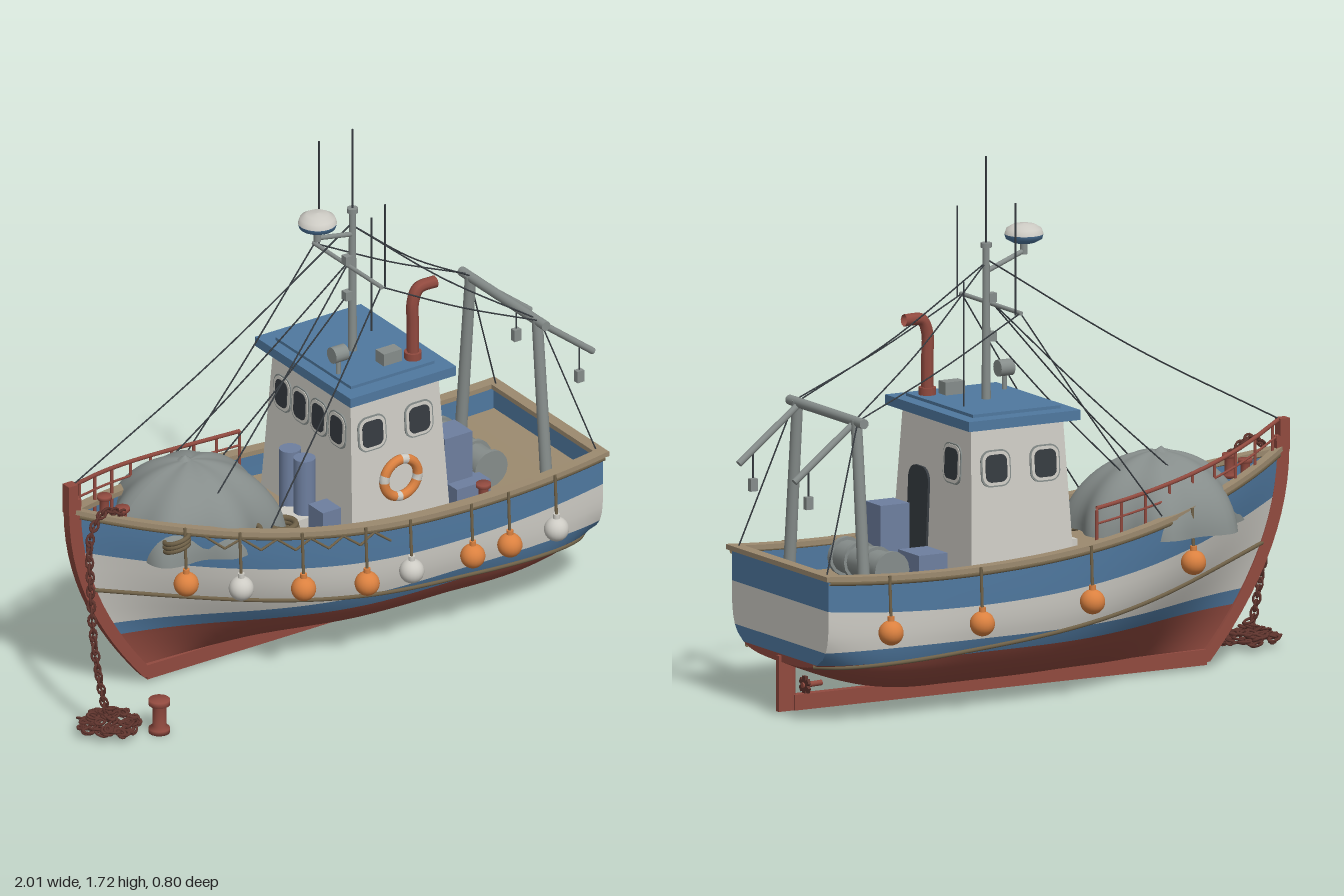
import * as THREE from 'three';
import { toCreasedNormals } from 'three/addons/utils/BufferGeometryUtils.js';

const mat = (name, color, side = THREE.DoubleSide) => Object.assign(new THREE.MeshStandardMaterial({ color, side }), { name });
const V = (x, y, z) => new THREE.Vector3(x, y, z);
const lerp = THREE.MathUtils.lerp, smooth = THREE.MathUtils.smoothstep;

export function createModel() {
  const red = mat('red oxide', 0x914a3f), white = mat('off white', 0xcdcbc4), blue = mat('boat blue', 0x4f789f);
  const orange = mat('orange', 0xdb8140), tan = mat('deck wood', 0x9c8a6f), grey = mat('grey metal', 0x868d8b);
  const dark = mat('dark glass and rope', 0x363b40), chainMat = mat('rusty chain', 0x5f342d);
  const paleBlue = mat('pale blue', 0x6e7f9f), brown = mat('brown trim', 0x6f6148);
  const model = new THREE.Group();
  const add = (name, geo, m, x = 0, y = 0, z = 0, parent = model) => {
    const mesh = new THREE.Mesh(geo, m);
    mesh.name = name;
    mesh.position.set(x, y, z);
    parent.add(mesh);
    return mesh;
  };
  const box = (name, m, w, h, d, x, y, z) => add(name, new THREE.BoxGeometry(w, h, d), m, x, y, z);
  const cyl = (name, m, r, h, x, y, z, r2 = r) => add(name, new THREE.CylinderGeometry(r2, r, h, 16), m, x, y, z);
  const ball = (name, m, r, x, y, z) => add(name, new THREE.SphereGeometry(r, 20, 14), m, x, y, z);
  const rod = (name, m, a, b, r, r2 = r) => {
    const d = b.clone().sub(a), c = a.clone().add(b).multiplyScalar(0.5);
    const mesh = cyl(name, m, r, d.length(), c.x, c.y, c.z, r2);
    mesh.quaternion.setFromUnitVectors(V(0, 1, 0), d.normalize());
    return mesh;
  };
  const tube = (name, m, pts, r, n = 40) => add(name, new THREE.TubeGeometry(new THREE.CatmullRomCurve3(pts), n, r, 8), m);
  const loft = (rows, crease = 0.6) => {
    const n = rows[0].length, index = [], g = new THREE.BufferGeometry().setFromPoints(rows.flat());
    for (let j = 0; j < rows.length - 1; j++) for (let i = 0; i < n - 1; i++) {
      const a = j * n + i;
      index.push(a, a + 1, a + n, a + 1, a + n + 1, a + n);
    }
    g.setIndex(index);
    return toCreasedNormals(g, crease);
  };

  // Hull lines: t runs from bow (-x) to stern (+x)
  const sheer = t => 0.468 + 0.21 * (1 - t / 0.78) ** 2;
  const bottom = t => 0.05 + 0.12 * Math.max(0, (t - 0.68) / 0.32) ** 2;
  const stemX = y => -0.885 + 0.28 * (1 - (y - 0.03) / 0.65) ** 2;
  const beam = t => t < 0.6 ? 0.335 * (1 - (1 - t / 0.6) ** 2.2) : 0.335 - 0.03 * ((t - 0.6) / 0.4) ** 2;
  const half = (t, y) => {
    const h = THREE.MathUtils.clamp((y - bottom(t)) / (sheer(t) - bottom(t)), 0, 1);
    const s = smooth(t, 0, 0.5), e = smooth(t, 0.65, 1);
    return beam(t) * (1 - (1 - h) ** (lerp(1.4, 4, s) + 2.5 * e)) ** (lerp(0.9, 0.6, s) - 0.28 * e);
  };
  const hullPoint = (t, y, side, out = 0) => V(lerp(stemX(y), 0.94, t), y, side * Math.max(0, half(t, y) + out));
  const N = 48, tOf = x => (x + 0.88) / 1.82;
  // One loop of the hull: front side, transom, back side
  const hullLoop = (yAt, out = 0, dy = 0) => {
    const pts = [];
    for (let i = 0; i <= N; i++) pts.push(hullPoint(i / N, yAt(i / N), 1, out));
    const w = half(1, yAt(1)) + out;
    for (let i = 0; i <= 8; i++) pts.push(V(0.94 + out, yAt(1), w * (1 - i / 4)));
    for (let i = N; i >= 0; i--) pts.push(hullPoint(i / N, yAt(i / N), -1, out));
    pts.forEach(p => { p.y += dy; });
    return pts;
  };
  const blueLow = t => sheer(t) - lerp(0.145, 0.105, t);
  const band = (name, m, lo, hi, n, pow = 1) => {
    const rows = [];
    for (let j = 0; j <= n; j++) rows.push(hullLoop(t => lerp(lo(t), hi(t), (j / n) ** pow)));
    add(name, loft(rows), m);
  };
  band('hullBottom', red, bottom, () => 0.195, 12, 2);
  band('bootStripe', blue, () => 0.195, () => 0.243, 2);
  band('hullSide', white, () => 0.243, blueLow, 5);
  band('bulwark', blue, blueLow, sheer, 4);
  add('railCap', loft([[-0.025, -0.006], [0.014, -0.006], [0.014, 0.01], [-0.025, 0.01], [-0.025, -0.006]]
    .map(([o, dy]) => hullLoop(sheer, o, dy))), tan);
  const deckY = t => sheer(t) - 0.09;
  add('deck', loft([-1, 1].map(s => Array.from({ length: N + 1 }, (_, i) => hullPoint(i / N, deckY(i / N), s, -0.003)))), tan);
  for (const s of [1, -1]) {
    const line = (yAt, out) => Array.from({ length: 30 }, (_, i) => hullPoint(0.01 + 0.99 * i / 29, yAt(0.01 + 0.99 * i / 29), s, out));
    tube('rubbingStrake', brown, line(t => 0.187 + 0.2 * (1 - t) ** 2, 0.002), 0.007, 80);
    tube('railMoulding', brown, line(t => sheer(t) - 0.013, 0.006), 0.007, 80);
  }

  // Stem, keel, rudder and propeller
  const stem = new THREE.Shape(), ys = Array.from({ length: 15 }, (_, i) => 0.02 + 0.05 * i);
  ys.forEach(y => stem.lineTo(stemX(y) - 0.02, y));
  [...ys].reverse().forEach(y => stem.lineTo(stemX(y) + 0.025, y));
  stem.curves.shift();
  add('stemPost', new THREE.ExtrudeGeometry(stem, { depth: 0.032, bevelEnabled: false }), red, 0, 0, -0.016);
  box('stemHead', red, 0.035, 0.1, 0.035, -0.89, 0.725, 0);
  box('keel', red, 1.5, 0.05, 0.03, 0.145, 0.035, 0);
  box('rudder', red, 0.05, 0.18, 0.018, 0.925, 0.1, 0);
  rod('rudderPost', red, V(0.895, 0.01, 0), V(0.895, 0.2, 0), 0.009);
  rod('propellerShaft', red, V(0.79, 0.088, 0), V(0.86, 0.085, 0), 0.009);
  for (let i = 0; i < 3; i++) box('propellerBlade', chainMat, 0.01, 0.06, 0.018, 0.85, 0.085, 0).rotation.x = i * Math.PI / 3;

  // Wheelhouse with tapering walls
  const hx = y => 0.1875 - 0.04 * (y - 0.4), hz = y => 0.255 - 0.08 * (y - 0.4);
  const house = new THREE.BoxGeometry(2, 0.52, 2), hp = house.attributes.position;
  for (let i = 0; i < hp.count; i++) {
    const y = hp.getY(i) + 0.65;
    hp.setXYZ(i, 0.202 + hp.getX(i) * hx(y), y, hp.getZ(i) * hz(y));
  }
  house.computeVertexNormals();
  add('wheelhouse', house, white);
  box('roof', blue, 0.405, 0.032, 0.53, 0.2025, 0.915, 0);
  box('roofPanel', blue, 0.32, 0.012, 0.42, 0.2, 0.935, 0);
  const plate = (w, h, r, d) => {
    const s = new THREE.Shape(), a = w / 2 - r, b = h / 2 - r;
    s.absarc(a, b, r, 0, Math.PI / 2).absarc(-a, b, r, Math.PI / 2, Math.PI)
      .absarc(-a, -b, r, Math.PI, 1.5 * Math.PI).absarc(a, -b, r, 1.5 * Math.PI, 2 * Math.PI);
    return new THREE.ExtrudeGeometry(s, { depth: d, bevelEnabled: false, curveSegments: 6 });
  };
  const opening = (name, face, u, y, w, h, r = 0.022, framed = true) => {
    const g = new THREE.Group(), side = face % 2 === 0, s = face < 2 ? 1 : -1;
    g.name = name;
    g.position.set(side ? u : 0.202 + s * hx(y), y, side ? s * hz(y) : u);
    g.rotation.set(side ? -0.08 : -0.04, face * Math.PI / 2, 0, 'YXZ');
    if (framed) {
      add('outline', plate(w + 0.03, h + 0.03, r + 0.012, 0.004), grey, 0, 0, 0, g);
      add('frame', plate(w + 0.02, h + 0.02, r + 0.008, 0.006), white, 0, 0, 0, g);
    }
    add('pane', plate(w, h, r, 0.008), dark, 0, 0, 0, g);
    model.add(g);
  };
  for (const f of [0, 2]) for (const x of [0.108, 0.287]) opening('sideWindow', f, x, 0.765, 0.078, 0.088);
  for (const z of [-0.153, -0.051, 0.051, 0.153]) opening('frontWindow', 3, z, 0.77, 0.065, 0.09);
  opening('sternWindow', 1, -0.11, 0.77, 0.08, 0.1);
  opening('door', 1, 0.09, 0.56, 0.125, 0.34, 0.045, false);

  // Life ring with white bands
  for (let i = 0; i < 8; i++) {
    const arc = i % 2 ? 0.35 : Math.PI / 2 - 0.35;
    const ring = add('lifeRing', new THREE.TorusGeometry(0.064, 0.016, 10, 12, arc), i % 2 ? white : orange, 0.198, 0.595, 0.258);
    ring.rotation.z = Math.floor(i / 2) * Math.PI / 2 + (i % 2 ? Math.PI / 2 - 0.35 : 0);
  }

  // Roof gear: funnel, lamps, mast, aerials and radar
  tube('funnel', red, [V(0.315, 0.92, 0.155), V(0.315, 1.05, 0.155), V(0.315, 1.14, 0.155), V(0.335, 1.182, 0.155), V(0.4, 1.187, 0.155)], 0.02);
  cyl('funnelBase', red, 0.028, 0.04, 0.315, 0.945, 0.155);
  cyl('searchlightStand', grey, 0.008, 0.07, 0.06, 0.96, 0.11);
  rod('searchlight', grey, V(0.035, 1.01, 0.11), V(0.085, 1.01, 0.11), 0.027);
  box('roofBox', grey, 0.07, 0.045, 0.045, 0.24, 0.96, 0.13);
  rod('mast', grey, V(0.19, 0.92, 0), V(0.19, 1.43, 0), 0.015, 0.011);
  cyl('mastCap', grey, 0.018, 0.015, 0.19, 1.435, 0);
  rod('crossTree', grey, V(0.172, 1.245, -0.19), V(0.172, 1.245, 0.19), 0.007);
  for (const [x, y0, y1, z] of [[0.19, 1.43, 1.72, 0], [0.19, 1.24, 1.53, 0.182], [0.19, 1.24, 1.6, -0.185], [0.315, 0.93, 1.34, -0.075]])
    rod('aerial', dark, V(x, y0, z), V(x, y1, z), 0.003);
  for (const y of [1.265, 1.14]) box('mastLamp', grey, 0.025, 0.03, 0.025, 0.17, y, 0);
  rod('radarArm', grey, V(0.19, 1.35, 0), V(0.035, 1.395, 0.035), 0.008);
  rod('radarStand', grey, V(0.032, 1.385, 0.035), V(0.032, 1.435, 0.035), 0.012);
  const profile = pts => new THREE.LatheGeometry(pts.map(p => new THREE.Vector2(...p)), 28);
  add('radarBase', profile([[0, 1.42], [0.035, 1.423], [0.058, 1.435], [0.062, 1.45]]), blue, 0.032, 0, 0.035);
  add('radarDome', profile([[0.062, 1.45], [0.056, 1.468], [0.035, 1.48], [0, 1.484]]), white, 0.032, 0, 0.035);

  // Stern gantry, booms and blocks
  rod('gantryBeam', grey, V(0.77, 0.955, -0.235), V(0.77, 0.955, 0.235), 0.016);
  for (const s of [1, -1]) {
    rod('gantryLeg', grey, V(0.77, 0.38, s * 0.24), V(0.77, 0.96, s * 0.185), 0.02, 0.018);
    rod('boom', grey, V(0.765, 0.955, s * 0.175), V(0.99, 0.78, s * 0.175), 0.011);
    rod('blockLine', dark, V(0.938, 0.82, s * 0.175), V(0.938, 0.73, s * 0.175), 0.003);
    box('block', grey, 0.026, 0.04, 0.02, 0.938, 0.708, s * 0.175);
  }

  // Winch and deck boxes
  rod('winchDrum', grey, V(0.622, 0.455, -0.15), V(0.622, 0.455, 0.14), 0.053);
  for (const z of [-0.155, -0.06, 0.04, 0.13]) rod('winchFlange', grey, V(0.622, 0.455, z), V(0.622, 0.455, z + 0.015), 0.063);
  box('lowLocker', paleBlue, 0.105, 0.12, 0.13, 0.487, 0.44, -0.115);
  box('tallLocker', paleBlue, 0.105, 0.24, 0.1, 0.487, 0.5, 0.11);
  box('fishBox', paleBlue, 0.13, 0.08, 0.1, 0.51, 0.42, 0.16);
  for (const z of [-0.02, 0.06]) cyl('barrel', paleBlue, 0.035, 0.24, -0.035, 0.53, z);
  box('crate', paleBlue, 0.07, 0.1, 0.08, -0.04, 0.48, 0.18);
  box('hatch', white, 0.14, 0.06, 0.11, -0.07, 0.43, 0.05);

  // Heap of netting with a pointed, folded hem
  const net = new THREE.SphereGeometry(1, 70, 16, 0, Math.PI * 2, 0, Math.PI / 2), np = net.attributes.position;
  for (let i = 0; i < np.count; i++) {
    const x = np.getX(i), y = np.getY(i), z = np.getZ(i), a = Math.atan2(z, x);
    const k = 1 + (1 - y) * (0.09 * Math.cos(7 * a + 2) + 0.04 * Math.sin(3 * a)) + 0.05 * (1 - y);
    np.setXYZ(i, x * k * 0.265, 0.24 * y * (1 + 0.03 * Math.cos(7 * a + 2) * Math.hypot(x, z)), z * k * 0.245);
  }
  net.computeVertexNormals();
  add('netHeap', net, grey, -0.42, 0.48, -0.02);
  add('netKnot', new THREE.ConeGeometry(0.035, 0.025, 8), grey, -0.43, 0.722, -0.03);

  // Rope coils and lashing along the bulwark
  for (const [x, y, z] of [[-0.34, 0.5, 0.18], [-0.19, 0.47, 0.16]]) for (let i = 0; i < 3; i++)
    add('ropeCoil', new THREE.TorusGeometry(0.052 - 0.004 * i, 0.01, 8, 24), brown, x, y + 0.016 * i, z).rotation.x = Math.PI / 2;
  for (let i = 0; i < 3; i++)
    add('hangingCoil', new THREE.TorusGeometry(0.04, 0.008, 8, 20), brown, -0.6, 0.57 - 0.014 * i, 0.17).rotation.set(1.3, 0.2, 0);
  const zig = i => {
    const t = tOf(-0.52 + 0.055 * i);
    return hullPoint(t, sheer(t) - (i % 2 ? 0.055 : 0.015), 1, 0.01);
  };
  for (let i = 0; i < 11; i++) rod('lashing', brown, zig(i), zig(i + 1), 0.004);

  // Bow railing along one side
  const railAt = (x, h) => hullPoint(tOf(x), sheer(tOf(x)), -1, -0.012 - 0.035 * smooth(x, -0.8, -0.1)).add(V(0, h, 0));
  for (const h of [0.105, 0.055]) tube('bowRail', red, Array.from({ length: 14 }, (_, i) => railAt(-0.87 + 0.062 * i, h - 0.01 * (1 - i / 13))), h > 0.06 ? 0.007 : 0.004);
  for (let i = 0; i < 9; i++) rod('bowRailPost', red, railAt(-0.84 + 0.097 * i, -0.04), railAt(-0.84 + 0.097 * i, 0.098), 0.005);

  // Bollards on deck and quay
  const bollard = (x, y, z, k) => add('bollard', profile([[0, 0], [0.034, 0], [0.034, 0.015], [0.022, 0.025], [0.022, 0.09], [0.034, 0.097], [0.034, 0.115], [0, 0.115]]), red, x, y, z).scale.setScalar(k);
  bollard(-0.77, 0, 0.32, 1);
  for (const z of [-0.05, 0.05]) bollard(-0.725, 0.59, z, 0.68);
  bollard(0.53, 0.39, 0.235, 0.7);

  // Fender buoys
  const fender = (x, y, s, m) => {
    const top = hullPoint(tOf(x), sheer(tOf(x)), s, 0.016);
    const z = top.z + s * 0.008;
    ball('fender', m, 0.04, x, y, z);
    rod('fenderRope', brown, V(x, y + 0.035, z), V(x, top.y + 0.01, top.z), 0.005);
    cyl('fenderEye', m, 0.011, 0.02, x, y + 0.043, z);
  };
  [[-0.58, 0.415, 0], [-0.415, 0.38, 1], [-0.215, 0.345, 0], [0.005, 0.315, 0], [0.17, 0.315, 1], [0.405, 0.3, 0], [0.55, 0.295, 0], [0.735, 0.295, 1]]
    .forEach(([x, y, w]) => fender(x, y, 1, w ? white : orange));
  [[-0.415, 0.4], [0.005, 0.33], [0.41, 0.3], [0.735, 0.3]].forEach(([x, y]) => fender(x, y, -1, orange));

  // Slightly slack rigging
  const stay = (a, b, sag = 0.012) => tube('rigging', dark, [V(...a), V(...a).add(V(...b)).multiplyScalar(0.5).sub(V(0, sag, 0)), V(...b)], 0.0025, 14);
  stay([0.19, 1.39, 0], [-0.88, 0.77, 0], 0.025);
  stay([0.17, 1.14, 0], [-0.28, 0.66, -0.06]);
  for (const s of [1, -1]) {
    stay([0.19, 1.38, 0], [0.77, 0.96, s * 0.18], 0.025);
    stay([0.172, 1.245, s * 0.185], [0.77, 0.96, s * 0.2]);
    stay([0.172, 1.245, s * 0.185], [-0.3, 0.56, s * 0.26]);
    stay([0.18, 1.26, 0], [-0.47, 0.62, s * 0.15]);
    stay([0.775, 0.95, s * 0.2], [0.935, 0.48, s * 0.28], 0);
  }

  // Anchor chain and its pile
  const link = new THREE.TorusGeometry(0.012, 0.0042, 6, 10).scale(1, 1.5, 1);
  const chain = new THREE.CatmullRomCurve3([V(-0.74, 0.66, 0.07), V(-0.83, 0.7, 0.1), V(-0.9, 0.65, 0.13), V(-0.93, 0.5, 0.17), V(-0.94, 0.28, 0.21), V(-0.91, 0.06, 0.23)]);
  for (let i = 0; i <= 34; i++) {
    const p = chain.getPointAt(i / 34), m = add('chainLink', link, chainMat, p.x, p.y, p.z);
    m.quaternion.setFromUnitVectors(V(0, 1, 0), chain.getTangentAt(i / 34));
    m.rotateY(i % 2 * Math.PI / 2);
  }
  let seed = 7;
  const rnd = () => (seed = (seed * 16807) % 2147483647) / 2147483647;
  for (let i = 0; i < 85; i++) {
    const r = 0.09 * Math.sqrt(rnd()), a = i * 2.4;
    add('pileLink', link, chainMat, -0.9 + r * Math.cos(a), 0.015 + (0.07 - 0.6 * r) * Math.sqrt(rnd()), 0.23 + r * Math.sin(a))
      .rotation.set(Math.PI / 2 + (rnd() - 0.5) * 0.9, (rnd() - 0.5) * 0.9, rnd() * 6);
  }
  return model;
}
